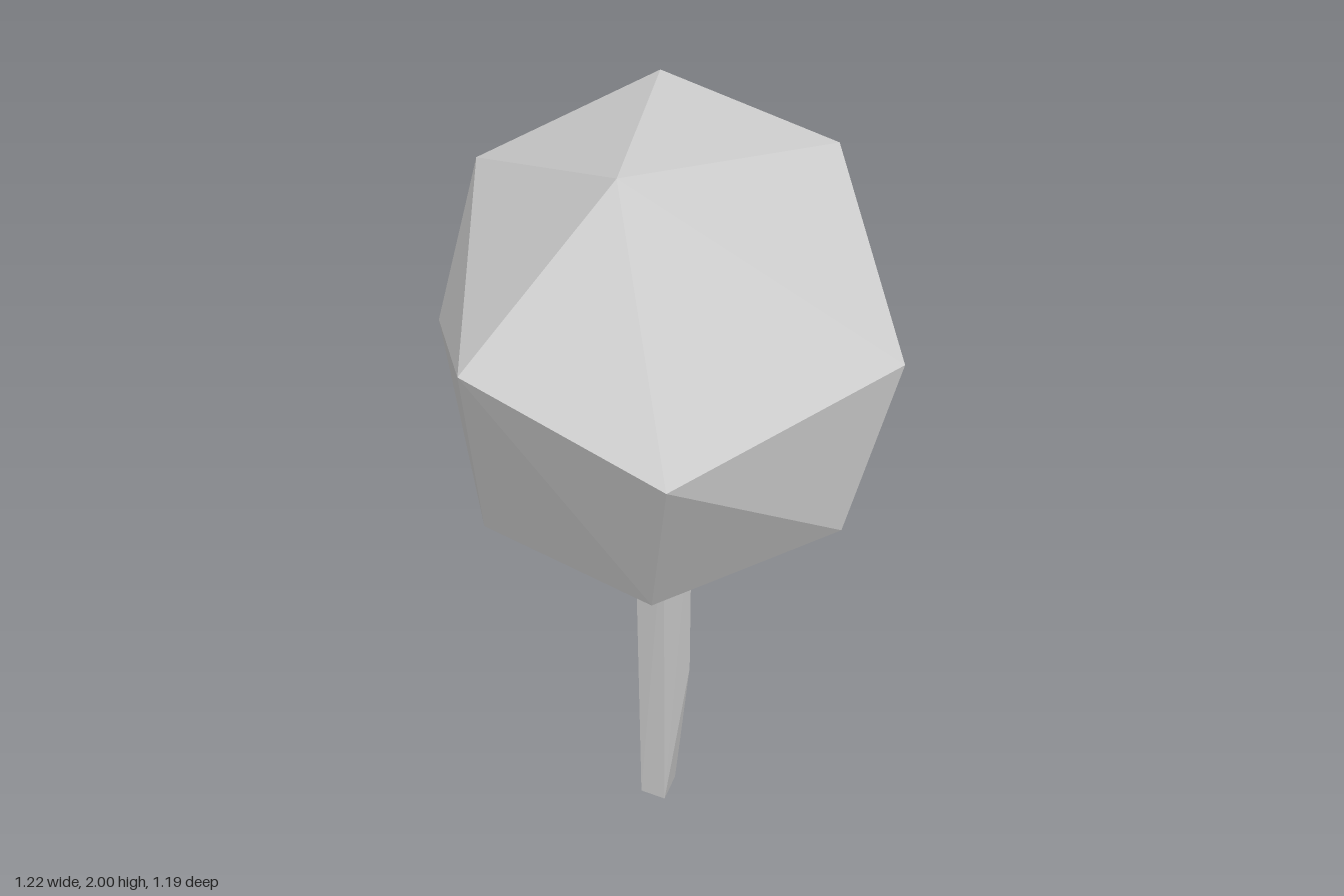
import * as THREE from 'three';
import { ConvexGeometry } from 'three/addons/geometries/ConvexGeometry.js';

const v = (x, y, z) => new THREE.Vector3(x, y, z);

export function createModel() {
  const group = new THREE.Group();
  group.name = 'tree';
  const grey = new THREE.MeshStandardMaterial({ color: 0xcccccc, flatShading: true });
  grey.name = 'light grey';

  const addPart = (name, points) => {
    const mesh = new THREE.Mesh(new ConvexGeometry(points), grey);
    mesh.name = name;
    group.add(mesh);
  };

  // Crown: seven corners, each mirrored through the crown's centre
  const centreY = 1.428;
  const corners = [
    [-0.236, 0.572, 0.208],
    [0.172, 0.572, -0.245],
    [0.412, 0.475, 0.152],
    [0.281, 0.133, 0.595],
    [-0.612, 0.163, 0.14],
    [-0.303, -0.052, 0.508],
    [-0.195, 0.335, -0.508],
  ];
  const crown = [];
  for (const [x, y, z] of corners) {
    crown.push(v(x, centreY + y, z), v(-x, centreY - y, -z));
  }
  addPart('crown', crown);

  // Trunk: irregular four-sided post, bulging slightly at mid height
  addPart('trunk', [
    v(-0.035, 0, -0.02), v(-0.012, 0.02, 0.062), v(0.06, 0.025, 0.005), v(0.03, 0.015, -0.045),
    v(0.095, 0.4, 0.02), v(0.05, 0.4, -0.053),
    v(-0.045, 0.95, -0.03), v(-0.025, 0.95, 0.075), v(0.09, 0.95, 0.03), v(0.06, 0.95, -0.06),
  ]);

  return group;
}
